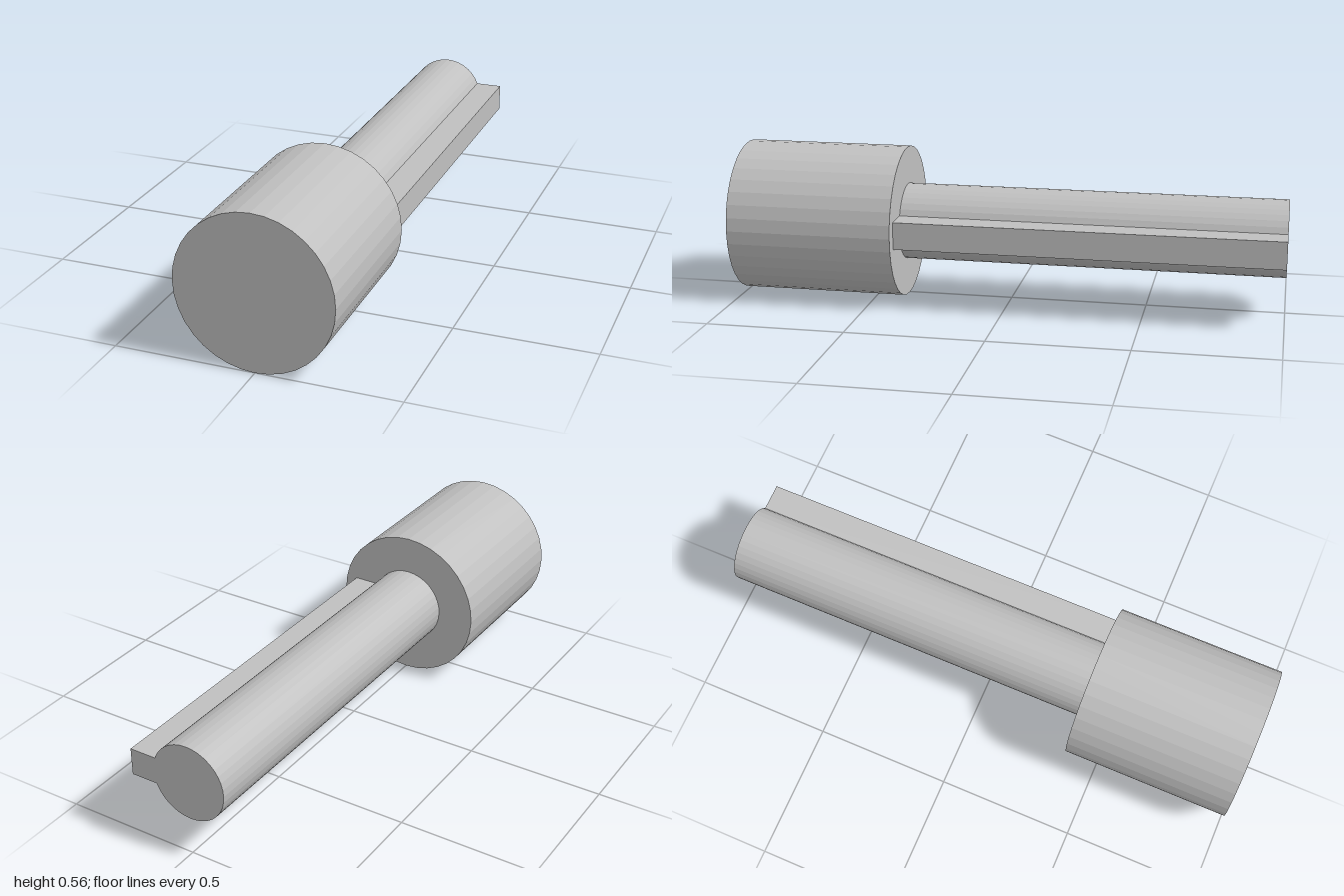
import * as THREE from 'three';

export function createModel() {
  const group = new THREE.Group();
  const metal = new THREE.MeshStandardMaterial({ color: 0xc0c0c0, flatShading: true });
  metal.name = 'grey metal';

  const axisY = 0.278, shoulderZ = 0.39;

  // Wide cylindrical head at the front
  const headLength = 1 - shoulderZ;
  const head = new THREE.Mesh(
    new THREE.CylinderGeometry(0.278, 0.278, headLength, 36).rotateX(Math.PI / 2), metal);
  head.name = 'head';
  head.position.set(0, axisY, shoulderZ + headLength / 2);
  group.add(head);

  // Round shaft with a rectangular key along its left side, as one profile
  const radius = 0.14, keyHalf = 0.05, keyX = 0.23;
  const start = Math.asin(keyHalf / radius);
  const profile = new THREE.Shape();
  profile.moveTo(keyX, -keyHalf);
  profile.lineTo(keyX, keyHalf);
  profile.absarc(0, 0, radius, start, 2 * Math.PI - start, false);
  profile.closePath();
  const shaft = new THREE.Mesh(
    new THREE.ExtrudeGeometry(profile, {
      depth: shoulderZ + 1, bevelEnabled: false, curveSegments: 16,
    }), metal);
  shaft.name = 'keyedShaft';
  shaft.position.set(0, axisY, -1);
  group.add(shaft);

  return group;
}
